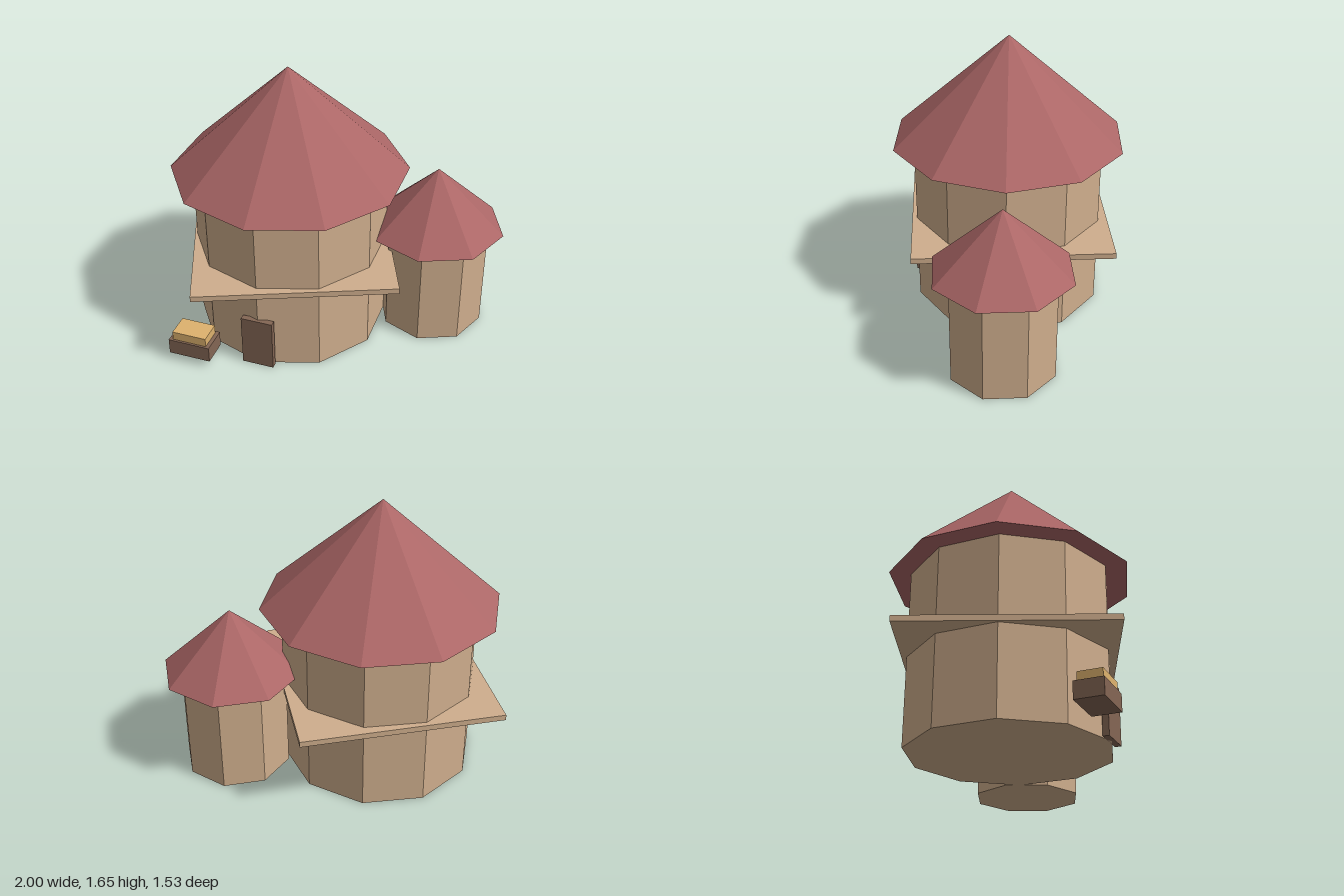
import * as THREE from 'three';

const flat = (name, color) => {
  const m = new THREE.MeshStandardMaterial({ color });
  m.name = name;
  m.flatShading = true;
  return m;
};

export function createModel() {
  const model = new THREE.Group();
  model.name = 'roundHouse';
  const plaster = flat('tan plaster', 0xcfae8d);
  const tile = flat('dusty red tile', 0xac6767);
  const wood = flat('dark wood', 0x846654);
  const straw = flat('golden straw', 0xdeb26e);

  const add = (name, geometry, material, x, y, z, parent = model) => {
    const mesh = new THREE.Mesh(geometry, material);
    mesh.name = name;
    mesh.position.set(x, y, z);
    parent.add(mesh);
    return mesh;
  };

  // Faceted wall with an overhanging conical roof
  const tower = (name, x, z, sides, wallR, wallH, roofR, roofH) => {
    const group = new THREE.Group();
    group.name = name;
    group.position.set(x, 0, z);
    add(name + 'Wall', new THREE.CylinderGeometry(wallR, wallR, wallH, sides), plaster, 0, wallH / 2, 0, group);
    add(name + 'Roof', new THREE.ConeGeometry(roofR, roofH, sides), tile, 0, wallH + roofH / 2, 0, group);
    model.add(group);
  };
  tower('mainTower', -0.237, 0, 10, 0.571, 1.016, 0.695, 0.634);
  tower('sideTower', 0.587, -0.254, 8, 0.317, 0.635, 0.409, 0.381);

  // Square balcony slab, turned about the main tower
  add('balcony', new THREE.BoxGeometry(1.168, 0.034, 1.168), plaster, -0.237, 0.527, 0).rotation.y = Math.PI / 8;

  // Door
  add('door', new THREE.BoxGeometry(0.19, 0.318, 0.036), wood, -0.238, 0.159, 0.572);

  // Crate with a straw filling
  add('crate', new THREE.BoxGeometry(0.254, 0.096, 0.159), wood, -0.618, 0.098, 0.633);
  add('crateFilling', new THREE.BoxGeometry(0.208, 0.054, 0.134), straw, -0.618, 0.173, 0.633);

  return model;
}
